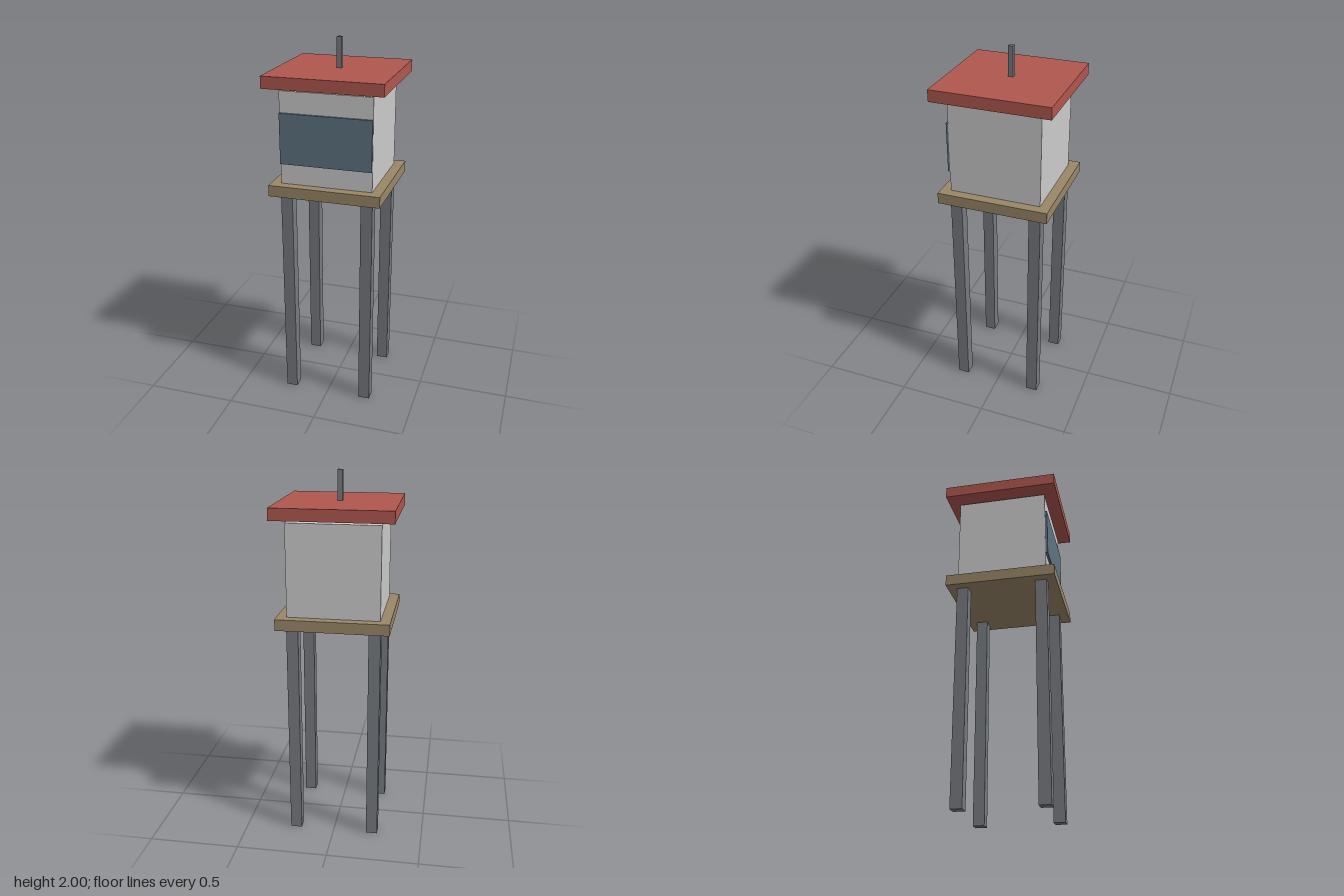
import * as THREE from 'three';

export function createModel() {
  const model = new THREE.Group();
  model.name = 'watchtower';

  const mat = (color) => new THREE.MeshStandardMaterial({ color });
  const steel = mat(0x777a80);
  const wood = mat(0x9a8768);
  const wall = mat(0xcccccc);
  const glass = mat(0x5f7482);
  const tile = mat(0xb0574e);

  // Box given by its size, bottom height and ground position
  const box = (name, material, [w, h, d], bottom, x = 0, z = 0) => {
    const mesh = new THREE.Mesh(new THREE.BoxGeometry(w, h, d), material);
    mesh.name = name;
    mesh.position.set(x, bottom + h / 2, z);
    model.add(mesh);
  };

  // Four legs
  for (const [side, x] of [['Left', 1], ['Right', -1]]) {
    for (const [end, z] of [['front', 1], ['back', -1]]) {
      box(`${end}${side}Leg`, steel, [0.063, 1.206, 0.063], 0, x * 0.218, z * 0.218);
    }
  }

  // Platform and cabin
  box('platform', wood, [0.6, 0.06, 0.6], 1.206);
  box('cabin', wall, [0.493, 0.493, 0.493], 1.266);

  // Wide window panel on the front wall
  box('window', glass, [0.49, 0.27, 0.013], 1.376, 0, 0.2525);

  // Roof slab floating just above the cabin, with its mast
  box('roof', tile, [0.63, 0.063, 0.63], 1.779);
  box('mast', steel, [0.027, 0.158, 0.027], 1.842);

  return model;
}
